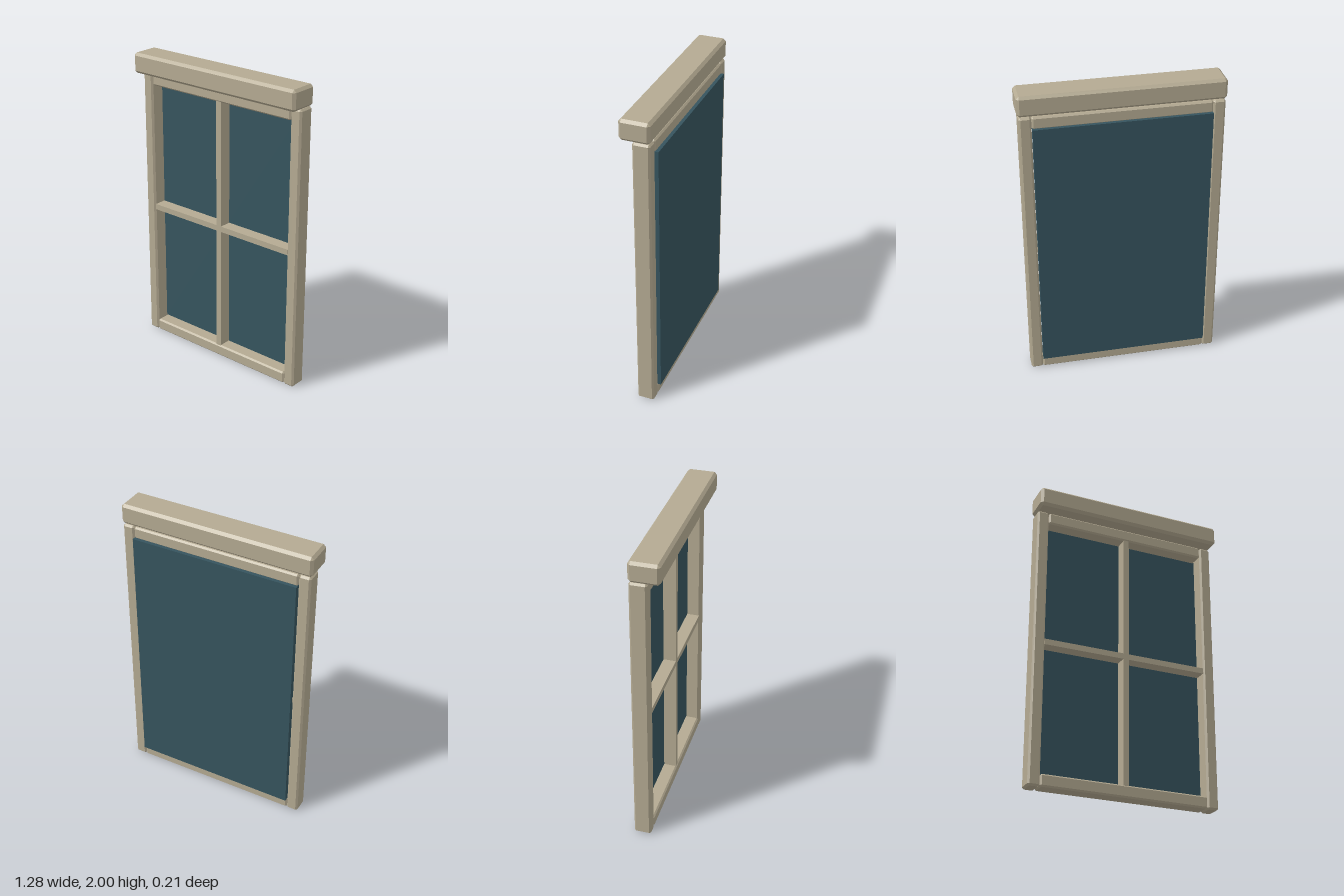
import * as THREE from 'three';
import { ConvexGeometry } from 'three/addons/geometries/ConvexGeometry.js';

const wood = new THREE.MeshStandardMaterial({ color: 0xb4aa92, flatShading: true });
const glass = new THREE.MeshStandardMaterial({ color: 0x36545e, flatShading: true });

// Box between two corners, every edge cut by a flat chamfer c
function chamferBox(min, max, c) {
  const centre = min.map((v, i) => (v + max[i]) / 2);
  const half = max.map((v, i) => (v - min[i]) / 2);
  const points = [];
  for (const sx of [-1, 1]) for (const sy of [-1, 1]) for (const sz of [-1, 1]) {
    const s = [sx, sy, sz];
    // each corner becomes three points, one on each adjoining face
    for (let face = 0; face < 3; face++) {
      points.push(new THREE.Vector3(...s.map((k, i) => k * (half[i] - (i === face ? 0 : c)))));
    }
  }
  return new ConvexGeometry(points).translate(...centre);
}

function plainBox(min, max) {
  const size = max.map((v, i) => v - min[i]);
  return new THREE.BoxGeometry(...size).translate(...min.map((v, i) => v + size[i] / 2));
}

export function createModel() {
  const group = new THREE.Group();
  const add = (name, geometry, material = wood) => {
    const mesh = new THREE.Mesh(geometry, material);
    mesh.name = name;
    group.add(mesh);
  };

  const back = -0.086, front = 0.025;

  // Head beam
  add('lintel', chamferBox([-0.638, 1.868, -0.089], [0.638, 2, 0.104], 0.017));

  // Upright sides
  add('rightJamb', chamferBox([-0.63, 0, back], [-0.553, 1.864, front], 0.012));
  add('leftJamb', chamferBox([0.553, 0, back], [0.63, 1.864, front], 0.012));

  // Rails between the sides
  add('bottomRail', chamferBox([-0.552, 0.002, back], [0.552, 0.081, front - 0.001], 0.01));
  add('topRail', chamferBox([-0.552, 1.784, back], [0.552, 1.863, front - 0.001], 0.01));

  // Crossing glazing bars
  add('verticalBar', plainBox([-0.019, 0.07, -0.08], [0.019, 1.79, 0.018]));
  add('horizontalBar', plainBox([-0.555, 0.917, -0.08], [0.555, 0.955, 0.017]));

  // Thick pane set into the back of the frame
  add('glassPane', plainBox([-0.551, 0.08, -0.105], [0.551, 1.79, -0.065]), glass);

  return group;
}
